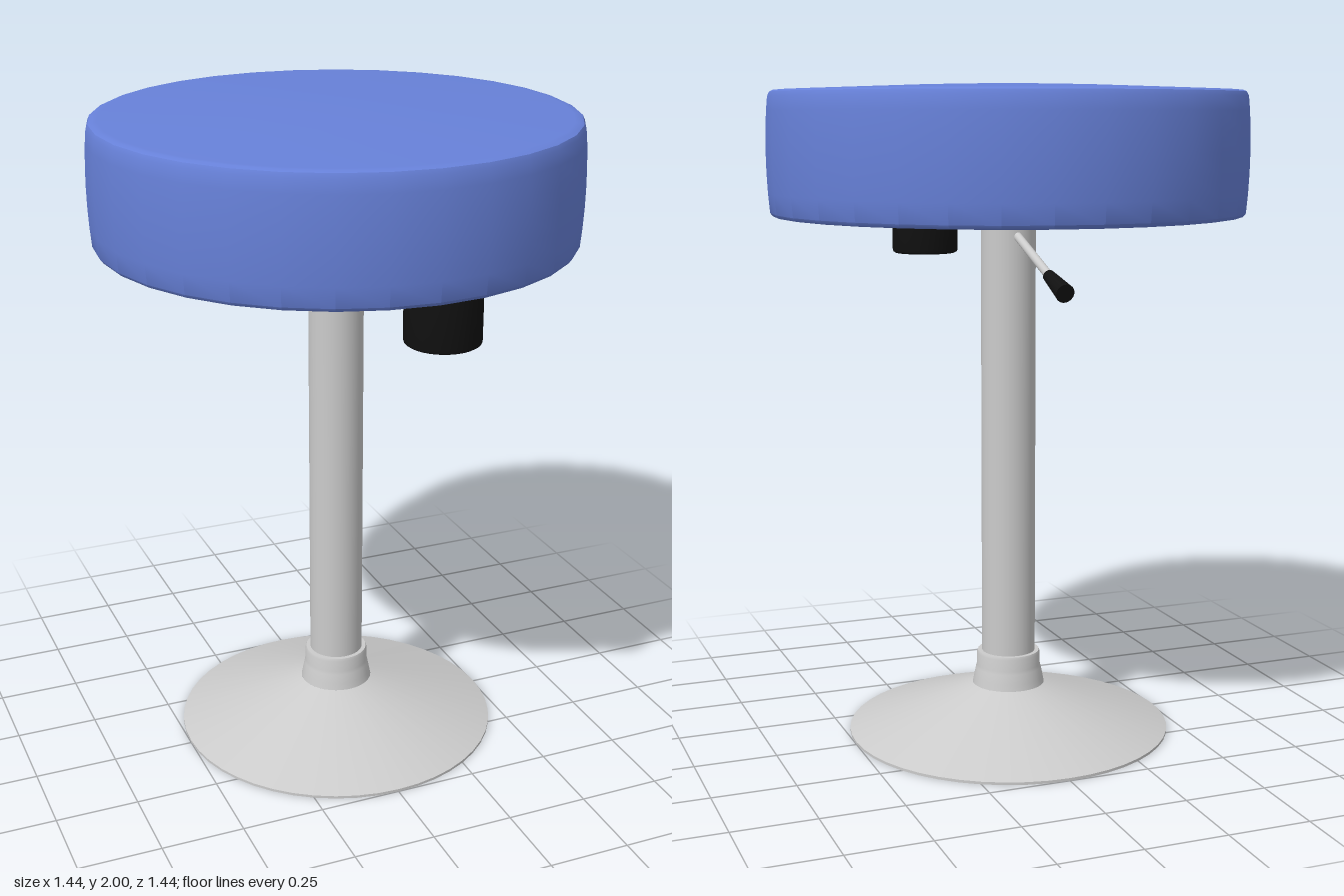
import * as THREE from 'three';
import { toCreasedNormals } from 'three/addons/utils/BufferGeometryUtils.js';

const metal = new THREE.MeshStandardMaterial({ color: 0xcccccc, side: THREE.DoubleSide });
const vinyl = new THREE.MeshStandardMaterial({ color: 0x6781d9 });
const black = new THREE.MeshStandardMaterial({ color: 0x111111 });

export function createModel() {
  const stool = new THREE.Group();
  stool.name = 'stool';

  const add = (name, geometry, material) => {
    const mesh = new THREE.Mesh(geometry, material);
    mesh.name = name;
    stool.add(mesh);
    return mesh;
  };
  // Turned part from [radius, height] pairs, listed bottom to top
  const turned = (profile, segments = 32) => toCreasedNormals(
    new THREE.LatheGeometry(profile.map(([r, y]) => new THREE.Vector2(r, y)), segments), 0.6);
  // Round bar between two points
  const bar = (name, from, to, r0, r1, material) => {
    const a = new THREE.Vector3(...from), b = new THREE.Vector3(...to);
    const dir = b.clone().sub(a);
    const mesh = add(name, new THREE.CylinderGeometry(r1, r0, dir.length(), 16), material);
    mesh.position.copy(a).add(b).multiplyScalar(0.5);
    mesh.quaternion.setFromUnitVectors(new THREE.Vector3(0, 1, 0), dir.normalize());
  };

  // Padded seat with a slightly domed top
  add('seat', turned([
    [0, 1.61], [0.69, 1.61], [0.703, 1.612], [0.711, 1.622], [0.716, 1.68], [0.719, 1.74], [0.72, 1.80],
    [0.719, 1.86], [0.716, 1.92], [0.712, 1.96], [0.706, 1.973], [0.695, 1.978], [0.68, 1.979], [0.3, 1.993], [0, 2.0],
  ]), vinyl);

  // Hollow flared foot
  add('base', turned([[0.5, 0], [0.5, 0.008], [0.112, 0.145]], 48), metal);

  // Collar where the post enters the foot
  add('collar', turned([
    [0.112, 0.145], [0.108, 0.165], [0.102, 0.195], [0.099, 0.205], [0.099, 0.242], [0.096, 0.25], [0.08, 0.25],
  ]), metal);

  // Post
  const post = add('post', new THREE.CylinderGeometry(0.083, 0.083, 1.37, 32), metal);
  post.position.y = 0.93;

  // Height lever and its grip, behind the post
  bar('lever', [0, 1.553, -0.07], [0, 1.45, -0.335], 0.013, 0.013, metal);
  bar('leverGrip', [0, 1.454, -0.322], [0, 1.414, -0.442], 0.018, 0.028, black);

  // Canister under the front of the seat
  const canister = add('canister', turned([
    [0, 1.457], [0.098, 1.457], [0.106, 1.462], [0.108, 1.47], [0.108, 1.612], [0, 1.612],
  ]), black);
  canister.position.set(0.077, 0, 0.569);

  return stool;
}
